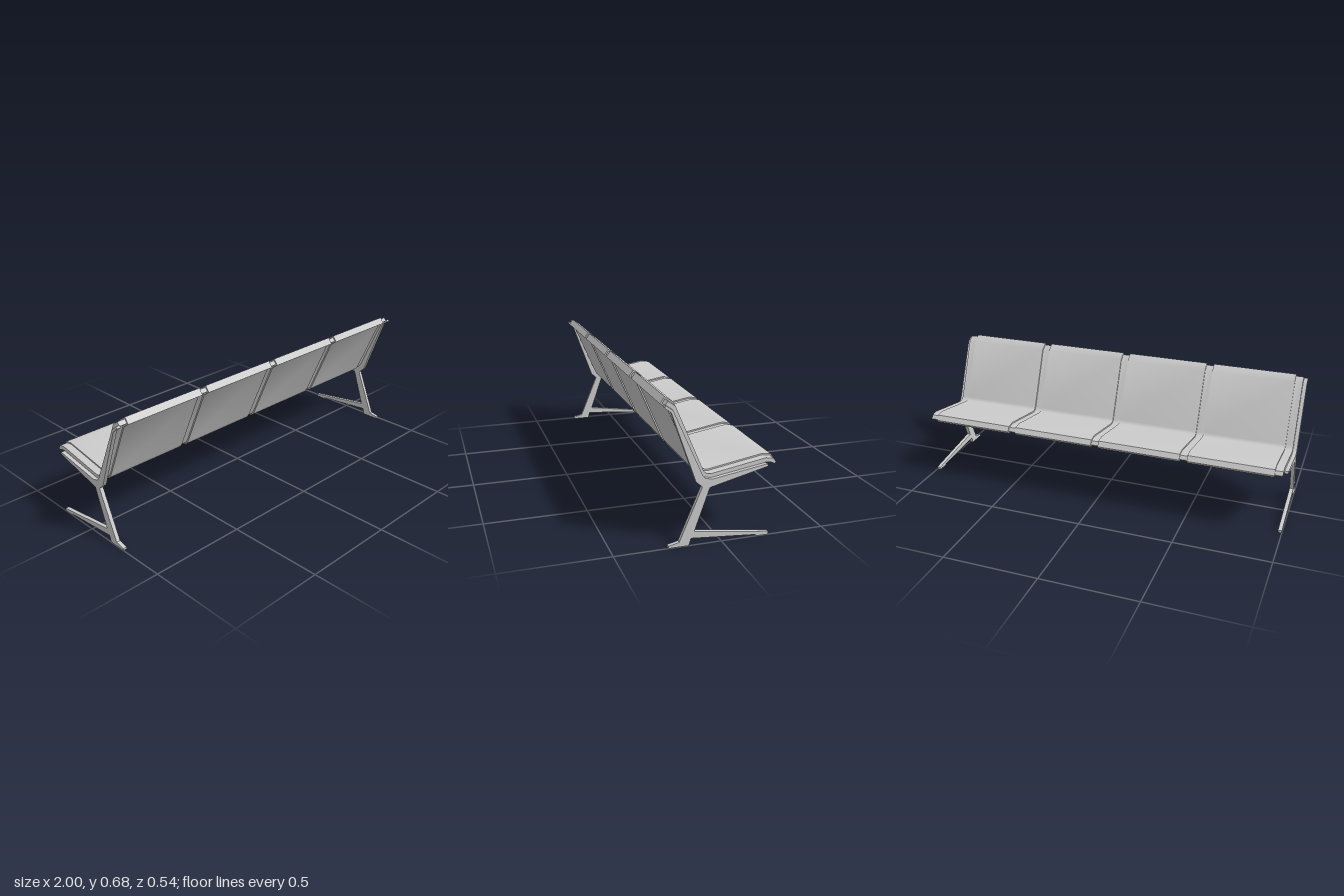
import * as THREE from 'three';
import { toCreasedNormals } from 'three/addons/utils/BufferGeometryUtils.js';

// Side profiles as [z, y]; the bench faces -z.
const SHELL = [
  [0.25, 0.678], [0.21, 0.65], [0.079, 0.345], [0.073, 0.336], [0.064, 0.33], [0.05, 0.328],
  [-0.213, 0.373], [-0.255, 0.366], [-0.272, 0.341], [-0.258, 0.325], [-0.235, 0.336], [-0.212, 0.338],
  [0.05, 0.293], [0.076, 0.295], [0.096, 0.305], [0.11, 0.326], [0.239, 0.626], [0.272, 0.648],
];

const FRAME = [
  // upper edge under the shell
  [0.265, 0.657], [0.232, 0.632], [0.094, 0.325], [0.082, 0.311], [0.05, 0.303], [-0.213, 0.345],
  // seat arm, leg, front foot
  [-0.217, 0.333], [0.06, 0.265], [0.13, 0.065], [-0.23, 0.014], [-0.23, 0], [-0.168, 0], [-0.168, 0.007],
  // rear foot, leg, back arm
  [0.145, 0.034], [0.155, 0], [0.25, 0], [0.25, 0.011], [0.2, 0.022], [0.095, 0.272], [0.125, 0.298],
  [0.24, 0.622], [0.27, 0.646],
];

// Shrink a closed profile by distance d with mitred corners.
function inset(points, d) {
  const n = points.length;
  const area = points.reduce((sum, p, i) => {
    const q = points[(i + 1) % n];
    return sum + p[0] * q[1] - q[0] * p[1];
  }, 0);
  const sign = Math.sign(area);
  const normal = (a, b) => {
    const length = Math.hypot(b[0] - a[0], b[1] - a[1]);
    return [(-sign * (b[1] - a[1])) / length, (sign * (b[0] - a[0])) / length];
  };
  return points.map((p, i) => {
    const m = normal(points[(i + n - 1) % n], p);
    const k = normal(p, points[(i + 1) % n]);
    const scale = d / (1 + m[0] * k[0] + m[1] * k[1]);
    return [p[0] + (m[0] + k[0]) * scale, p[1] + (m[1] + k[1]) * scale];
  });
}

// Extrude a side profile from x0 to x1.
function slab(name, profile, x0, x1, material) {
  const shape = new THREE.Shape(profile.map(([z, y]) => new THREE.Vector2(-z, y)));
  const geometry = new THREE.ExtrudeGeometry(shape, { depth: x1 - x0, bevelEnabled: false });
  geometry.rotateY(Math.PI / 2);
  geometry.translate(x0, 0, 0);
  const mesh = new THREE.Mesh(toCreasedNormals(geometry, 0.65), material);
  mesh.name = name;
  return mesh;
}

export function createModel() {
  const bench = new THREE.Group();
  bench.name = 'bench';
  const material = new THREE.MeshStandardMaterial({ color: 0xcccccc });

  // Recessed strips at the seams and at both ends
  const rim = inset(SHELL, 0.007);
  const seams = [[-0.98, -0.94], [-0.5, -0.46], [-0.02, 0.02], [0.46, 0.5], [0.94, 0.98]];
  seams.forEach(([x0, x1]) => bench.add(slab('seamStrip', rim, x0, x1, material)));

  // Four seat-and-back panels between the strips
  for (let i = 0; i < 4; i++) {
    bench.add(slab('seatPanel', SHELL, seams[i][1], seams[i + 1][0], material));
  }

  // End frames with legs and feet
  bench.add(slab('leftFrame', FRAME, 0.98, 1, material));
  bench.add(slab('rightFrame', FRAME, -1, -0.98, material));
  return bench;
}
